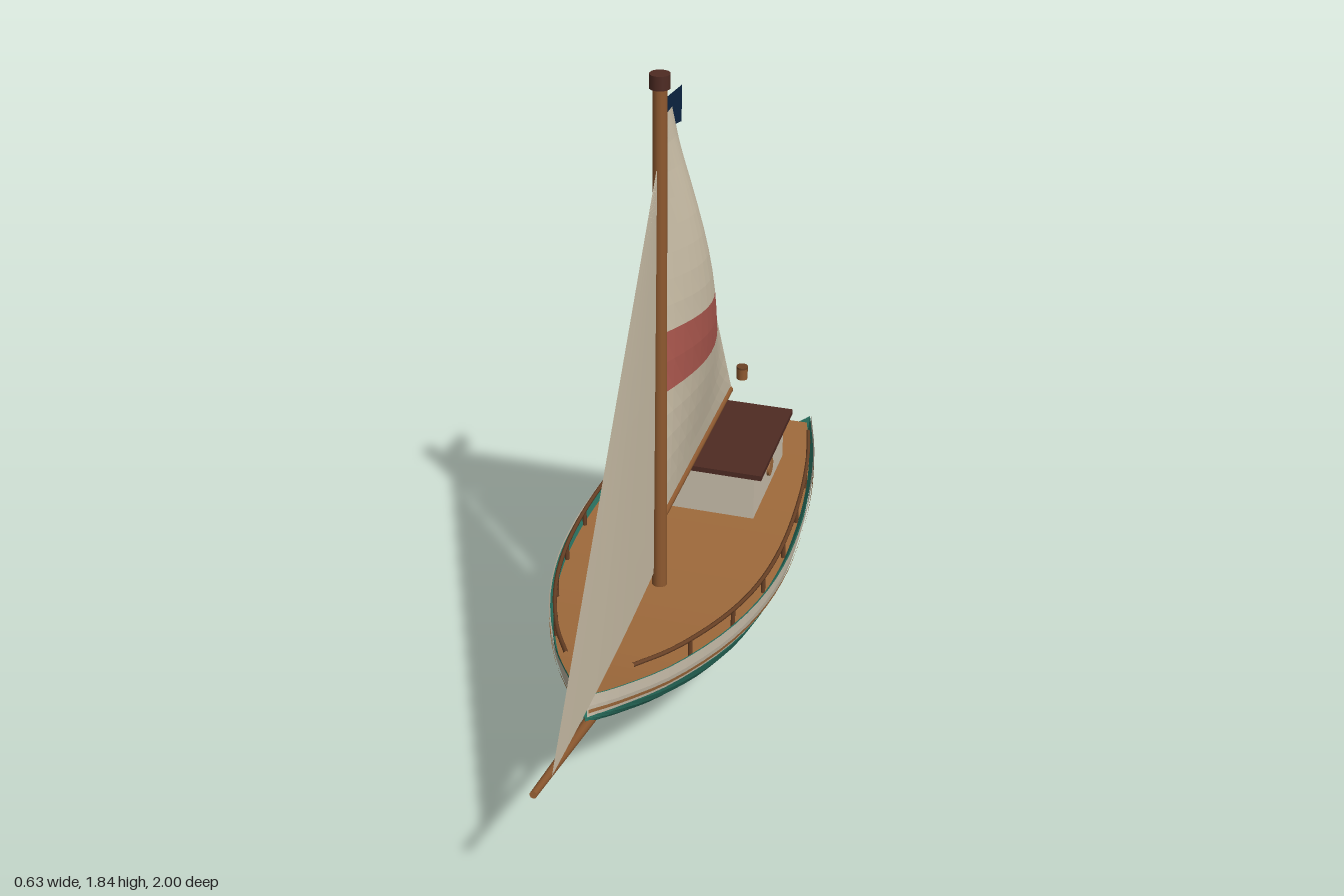
import * as THREE from 'three';

const mat = (name, color, side = THREE.FrontSide) => {
  const m = new THREE.MeshStandardMaterial({ color, side });
  m.name = name;
  return m;
};

// Hull stations: z, half beam, sheer height, keel height
const STATIONS = [
  [-1, 0.2, 0.395, 0.18], [-0.8, 0.254, 0.393, 0.163], [-0.6, 0.288, 0.393, 0.153],
  [-0.4, 0.305, 0.395, 0.15], [-0.2, 0.308, 0.4, 0.153], [0, 0.288, 0.41, 0.168],
  [0.2, 0.238, 0.425, 0.215], [0.4, 0.155, 0.447, 0.29], [0.55, 0.065, 0.474, 0.36],
  [0.63, 0.002, 0.49, 0.405],
];
const spline = (pts) => new THREE.CatmullRomCurve3(pts, false, 'catmullrom', 0.5);
const sheerLine = spline(STATIONS.map(([z, b, s]) => new THREE.Vector3(b, s, z)));
const keelLine = spline(STATIONS.map(([z, , , k]) => new THREE.Vector3(0, k, z)));

function station(t) {
  const a = sheerLine.getPoint(t);
  return { z: a.z, b: Math.max(a.x, 0.001), s: a.y, k: keelLine.getPoint(t).y };
}

// Curve parameter of the station at a given z
function stationAt(z) {
  let lo = 0, hi = 1;
  for (let i = 0; i < 30; i++) {
    const mid = (lo + hi) / 2;
    if (sheerLine.getPoint(mid).z < z) lo = mid; else hi = mid;
  }
  return station(lo);
}

// Point on a hull section: a = 0 at the sheer, PI/2 at the keel
const sectionX = (st, a) => st.b * Math.pow(Math.max(Math.cos(a), 0), 0.85);
const sectionY = (st, a) => st.s - (st.s - st.k) * Math.sin(a);

// Faceted surface from f(u, v) -> [x, y, z]
function surface(f, nu, nv) {
  const pos = [], index = [];
  for (let i = 0; i <= nu; i++) for (let j = 0; j <= nv; j++) pos.push(...f(i / nu, j / nv));
  for (let i = 0; i < nu; i++) for (let j = 0; j < nv; j++) {
    const a = i * (nv + 1) + j, b = a + nv + 1;
    index.push(a, b, a + 1, b, b + 1, a + 1);
  }
  const g = new THREE.BufferGeometry();
  g.setAttribute('position', new THREE.Float32BufferAttribute(pos, 3));
  g.setIndex(index);
  const flat = g.toNonIndexed();
  flat.computeVertexNormals();
  return flat;
}

export function createModel() {
  const teal = mat('hull teal', 0x2f7f6c, THREE.DoubleSide);
  const cream = mat('painted cream', 0xcdc2ae, THREE.DoubleSide);
  const canvas = mat('sail canvas', 0xcfc3ab, THREE.DoubleSide);
  const red = mat('sail red', 0xb05a50, THREE.DoubleSide);
  const deckWood = mat('deck wood', 0xa06b3c, THREE.DoubleSide);
  const sparWood = mat('spar wood', 0x8f5a30);
  const railWood = mat('rail wood', 0x6b4226);
  const mahogany = mat('mahogany', 0x4f2b23);
  const navy = mat('pennant navy', 0x0d2746, THREE.DoubleSide);

  const boat = new THREE.Group();
  boat.name = 'sailboat';
  const add = (name, geometry, material, x = 0, y = 0, z = 0) => {
    const m = new THREE.Mesh(geometry, material);
    m.name = name;
    m.position.set(x, y, z);
    boat.add(m);
    return m;
  };
  // Round bar between two points
  const bar = (name, p, q, r0, r1, material, sides = 10) => {
    const a = new THREE.Vector3(...p), b = new THREE.Vector3(...q);
    const m = add(name, new THREE.CylinderGeometry(r1, r0, a.distanceTo(b), sides), material);
    m.position.addVectors(a, b).multiplyScalar(0.5);
    m.quaternion.setFromUnitVectors(new THREE.Vector3(0, 1, 0), b.sub(a).normalize());
    return m;
  };

  // Hull shell, open at the top
  add('hull', surface((u, v) => {
    const st = station(u), a = v * Math.PI;
    const side = v < 0.5 ? 1 : -1, q = v < 0.5 ? a : Math.PI - a;
    return [side * sectionX(st, q), sectionY(st, q), st.z];
  }, 28, 16), teal);

  // Transom with a hollowed top edge
  add('transom', surface((u, v) => {
    const st = station(0), a = u * Math.PI;
    const side = u < 0.5 ? 1 : -1, q = u < 0.5 ? a : Math.PI - a;
    const x = sectionX(st, q), y = sectionY(st, q);
    const top = Math.max(y, st.s - 0.08 * (1 - (x / st.b) ** 2));
    return [side * x, y + (top - y) * v, st.z];
  }, 16, 1), teal);

  add('deck', surface((u, v) => {
    const st = station(u);
    return [(v * 2 - 1) * st.b * 0.955, st.s - 0.025, st.z];
  }, 28, 2), deckWood);

  // Bands along the topsides, d0 to d1 below the sheer
  const band = (name, side, d0, d1, out, material) => add(name, surface((u, v) => {
    const st = station(u);
    const a = Math.asin(Math.min(0.95, (d0 + (d1 - d0) * v) / (st.s - st.k)));
    return [side * (sectionX(st, a) + out), sectionY(st, a), st.z];
  }, 28, 2), material);

  for (const side of [1, -1]) {
    const label = side > 0 ? 'left' : 'right';
    band(label + 'Strake', side, 0, 0.066, 0.004, cream);
    band(label + 'RubbingStripe', side, 0.042, 0.053, 0.008, deckWood);

    // Handrail on short posts
    const railPoint = (z) => {
      const st = stationAt(z);
      const rise = 0.024 + 0.022 * Math.max(0, z) / 0.5;
      return new THREE.Vector3(side * st.b * 0.94, st.s + rise, z);
    };
    const pts = [];
    for (let i = 0; i <= 12; i++) pts.push(railPoint(0.51 - i * 0.115));
    add(label + 'Rail', new THREE.TubeGeometry(new THREE.CatmullRomCurve3(pts), 40, 0.006, 6), railWood);
    for (let i = 0; i < 7; i++) {
      const p = railPoint(0.32 - i * 0.19);
      bar(label + 'RailPost', [p.x, stationAt(p.z).s - 0.025, p.z], [p.x, p.y, p.z], 0.006, 0.006, railWood, 6);
    }

    // Porthole on the cabin side
    const port = add(label + 'Porthole', new THREE.CylinderGeometry(0.027, 0.027, 0.012, 12), deckWood,
      side * 0.164, 0.44, -0.602);
    port.rotation.z = Math.PI / 2;
  }

  // Cabin
  add('cabin', new THREE.BoxGeometry(0.324, 0.15, 0.366), cream, 0, 0.437, -0.605);
  add('cabinRoof', new THREE.BoxGeometry(0.37, 0.016, 0.396), mahogany, 0, 0.517, -0.606);

  // Steering gear and stern lantern
  add('rudder', new THREE.BoxGeometry(0.013, 0.22, 0.108), mahogany, 0, 0.11, -0.938);
  bar('tiller', [0, 0.463, -0.77], [0, 0.43, -0.93], 0.006, 0.006, railWood, 6);
  add('lantern', new THREE.CylinderGeometry(0.017, 0.017, 0.04, 10), sparWood, 0, 0.564, -0.915);
  add('lanternCap', new THREE.CylinderGeometry(0.018, 0.018, 0.006, 10), railWood, 0, 0.583, -0.915);

  // Spars
  bar('mast', [0, 0.37, -0.018], [0, 1.81, -0.018], 0.021, 0.018, sparWood, 12);
  add('mastCap', new THREE.CylinderGeometry(0.026, 0.026, 0.036, 12), mahogany, 0, 1.822, -0.018);
  bar('boom', [0, 0.587, -0.03], [0, 0.587, -0.765], 0.011, 0.01, sparWood);
  bar('bowsprit', [0, 0.385, 0.585], [0, 0.486, 0.998], 0.014, 0.009, sparWood);

  // Mainsail, bellied to the left, in three panels
  const mainsail = (name, v0, v1, rows, material) => add(name, surface((u, w) => {
    const v = v0 + (v1 - v0) * w;
    const chord = 0.72 * (1 - v) + 0.07 * v;
    const belly = 0.072 * Math.sin(Math.PI * u) * Math.pow(Math.sin(Math.PI * v), 1.2);
    return [0.004 + belly, 0.602 + 1.122 * v, -0.04 - chord * u];
  }, 12, rows), material);
  mainsail('mainsailLower', 0, 0.323, 5, canvas);
  mainsail('mainsailBand', 0.323, 0.48, 2, red);
  mainsail('mainsailUpper', 0.48, 1, 8, canvas);

  // Jib, from clew and head forward to the tack
  add('jib', surface((u, v) => {
    const luff = [0.024 * (1 - v), 0.497 + 1.108 * v, 0.938 - 0.926 * v];
    const leech = [0.002, 0.46 + 1.145 * v, 0.045 - 0.033 * v];
    const belly = 0.006 * Math.sin(Math.PI * u) * (1 - v);
    return luff.map((c, i) => c + (leech[i] - c) * u + (i === 0 ? belly : 0));
  }, 8, 8), canvas);

  // Pennant at the masthead
  add('pennant', surface((u, v) => [0, 1.765 - 0.022 * u - (0.075 + 0.02 * u) * v, -0.035 - 0.175 * u], 1, 1), navy);

  return boat;
}
